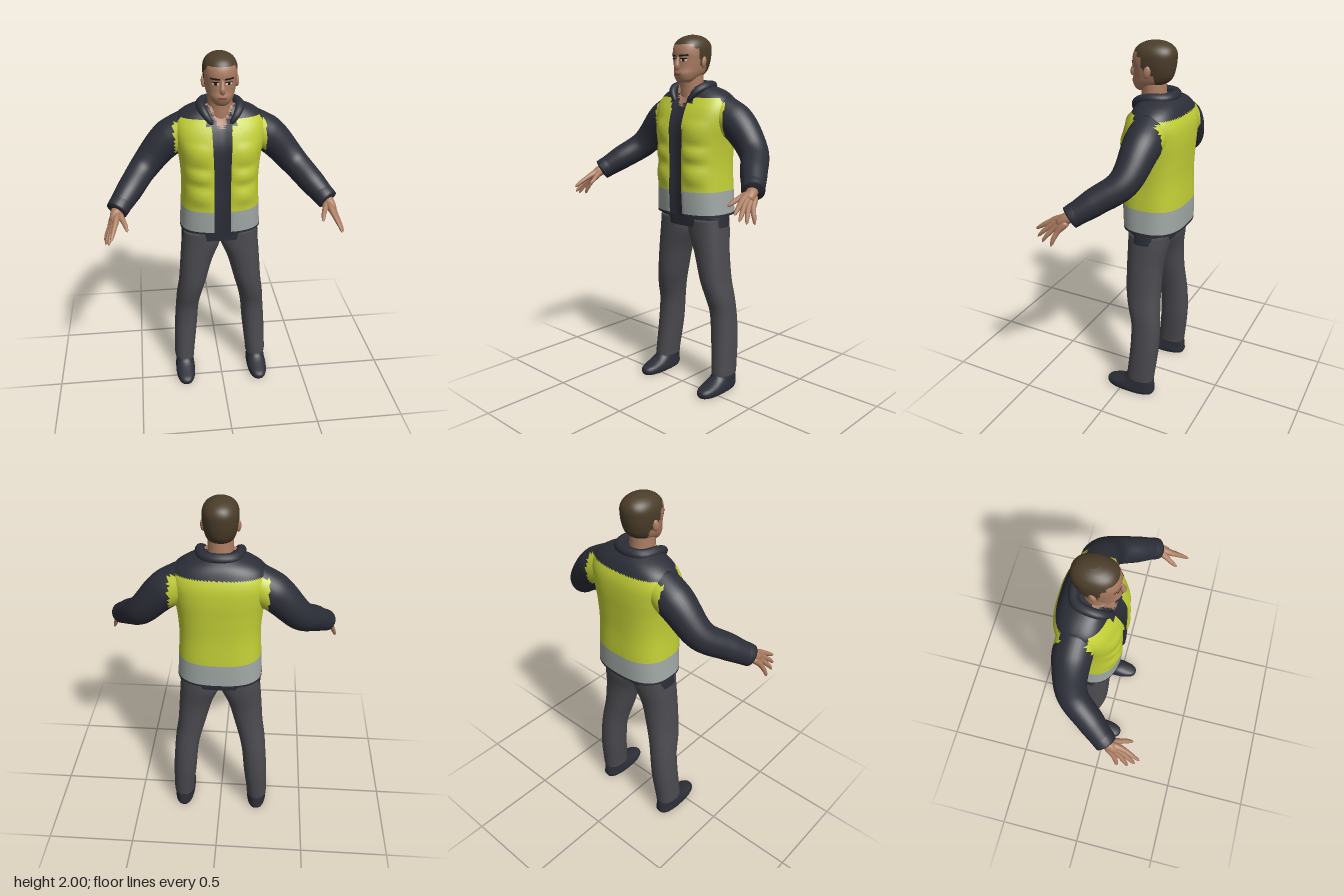
import * as THREE from 'three';
import { mergeVertices } from 'three/addons/utils/BufferGeometryUtils.js';

const mat = (name, color, side = THREE.FrontSide) => {
  const m = new THREE.MeshStandardMaterial({ color, side });
  m.name = name;
  return m;
};

export function createModel() {
  const group = new THREE.Group();
  const D = THREE.DoubleSide;
  const navy = mat('navy cloth', 0x2c2e38, D), yellow = mat('safety yellow', 0xc3d037, D);
  const grey = mat('reflective grey', 0xa0a8a5, D), trousers = mat('charcoal trousers', 0x4b4b50);
  const skin = mat('skin', 0xac7d62), hair = mat('brown hair', 0x4b3d2a);
  const lips = mat('lips', 0x8a5548, D), white = mat('eye white', 0xd8d2cc, D), dark = mat('dark eye', 0x211c1a, D);

  const add = (name, geo, material, parent = group) => {
    const m = new THREE.Mesh(geo, material);
    m.name = name;
    parent.add(m);
    return m;
  };

  // Regroup the triangles of a geometry by a colour rule on their centres
  const paint = (geo, rule) => {
    const p = geo.attributes.position, ix = geo.index.array, lists = new Map();
    for (let i = 0; i < ix.length; i += 3) {
      const t = [ix[i], ix[i + 1], ix[i + 2]];
      const mean = f => (f(t[0]) + f(t[1]) + f(t[2])) / 3;
      const m = rule(mean(k => Math.abs(p.getX(k))), mean(k => p.getY(k)), mean(k => p.getZ(k)));
      if (!lists.has(m)) lists.set(m, []);
      lists.get(m).push(...t);
    }
    const all = [], mats = [...lists.keys()];
    geo.clearGroups();
    mats.forEach((m, k) => {
      geo.addGroup(all.length, lists.get(m).length, k);
      for (const v of lists.get(m)) all.push(v);
    });
    geo.setIndex(all);
    return mats;
  };

  // Smooth interpolation through section rows [y, xCentre, zCentre, halfWidth, halfDepth, roundness]
  const section = (rows, s) => {
    const i = Math.min(Math.floor(s), rows.length - 2), t = s - i;
    const at = k => rows[Math.max(0, Math.min(rows.length - 1, k))];
    return rows[0].map((_, k) => {
      const [a, b, c, d] = [at(i - 1)[k], at(i)[k], at(i + 1)[k], at(i + 2)[k]];
      return 0.5 * (2 * b + (c - a) * t + (2 * a - 5 * b + 4 * c - d) * t * t + (3 * b - a - 3 * c + d) * t ** 3);
    });
  };
  const pw = (v, e) => Math.sign(v) * Math.abs(v) ** e;

  // Upright loft of superelliptic sections; caps: 1 bottom, 2 top, 3 both
  const loft = (rows, segs, sub, caps = 0, warp = null) => {
    const pos = [], idx = [], list = [];
    const n = (rows.length - 1) * sub;
    for (let i = 0; i <= n; i++) list.push(section(rows, i / sub));
    const shut = r => [r[0], r[1], r[2], 0.0005, 0.0005, 2];
    if (caps & 1) list.unshift(shut(list[0]));
    if (caps & 2) list.push(shut(list[list.length - 1]));
    for (const [y, xc, zc, w, d, e] of list) {
      for (let j = 0; j < segs; j++) {
        const a = (j / segs) * Math.PI * 2;
        const x = xc + w * pw(Math.cos(a), 2 / e);
        let z = zc + d * pw(Math.sin(a), 2 / e);
        if (warp) z += warp(x, y, z);
        pos.push(x, y, z);
      }
    }
    for (let i = 0; i < list.length - 1; i++) for (let j = 0; j < segs; j++) {
      const a = i * segs + j, b = i * segs + (j + 1) % segs, c = b + segs, d = a + segs;
      idx.push(a, d, c, a, c, b);
    }
    const g = new THREE.BufferGeometry();
    g.setAttribute('position', new THREE.Float32BufferAttribute(pos, 3));
    g.setIndex(idx);
    g.computeVertexNormals();
    return g;
  };

  // Closed tube along points with radii evenly spread over its length
  const limb = (points, radii, segs = 20, sides = 16) => {
    const curve = new THREE.CatmullRomCurve3(points.map(p => new THREE.Vector3(...p)));
    let g = new THREE.TubeGeometry(curve, segs, 1, sides);
    const p = g.attributes.position, v = new THREE.Vector3();
    for (let i = 0; i <= segs; i++) {
      const c = curve.getPointAt(i / segs), s = (i / segs) * (radii.length - 1);
      const k = Math.min(Math.floor(s), radii.length - 2);
      const r = i === 0 || i === segs ? 0.0005 : THREE.MathUtils.lerp(radii[k], radii[k + 1], s - k);
      for (let j = 0; j <= sides; j++) {
        const n = i * (sides + 1) + j;
        v.fromBufferAttribute(p, n).sub(c).multiplyScalar(r).add(c);
        p.setXYZ(n, v.x, v.y, v.z);
      }
    }
    g.deleteAttribute('uv');
    g.deleteAttribute('normal');
    g = mergeVertices(g, 1e-5);
    g.computeVertexNormals();
    return g;
  };

  // Thin patch lying on the front of a loft; corners: two lower, two upper [x, y]
  const patch = (rows, [p, q, r, s], lift, warp = null) => {
    const g = new THREE.PlaneGeometry(1, 1, 8, 6), a = g.attributes.position;
    for (let i = 0; i < a.count; i++) {
      const u = a.getX(i) + 0.5, v = a.getY(i) + 0.5, L = THREE.MathUtils.lerp;
      const x = L(L(p[0], q[0], u), L(r[0], s[0], u), v), y = L(L(p[1], q[1], u), L(r[1], s[1], u), v);
      let best = null;
      for (let k = 0; k <= 400; k++) {
        const c = section(rows, (k / 400) * (rows.length - 1));
        if (!best || Math.abs(c[0] - y) < Math.abs(best[0] - y)) best = c;
      }
      const [, xc, zc, w, d, e] = best;
      const z = zc + d * Math.max(0, 1 - Math.abs((x - xc) / w) ** e) ** (1 / e);
      a.setXYZ(i, x, y, z + lift + (warp ? warp(x, y, z) : 0));
    }
    g.computeVertexNormals();
    return g;
  };

  // Jacket and vest body, with puffed pockets and a recessed front opening
  const body = [
    [1.02, 0, -0.117, 0.228, 0.168, 2.6], [1.16, 0, -0.113, 0.22, 0.172, 2.6], [1.30, 0, -0.111, 0.214, 0.168, 2.6],
    [1.42, 0, -0.112, 0.222, 0.17, 2.6], [1.52, 0, -0.116, 0.238, 0.17, 2.6], [1.60, 0, -0.125, 0.245, 0.156, 2.6],
    [1.66, 0, -0.13, 0.228, 0.13, 2.5], [1.70, 0, -0.128, 0.18, 0.108, 2.3], [1.73, 0, -0.115, 0.11, 0.085, 2]];
  const bump = (v, c, w) => Math.max(0, 1 - ((v - c) / w) ** 2);
  const puff = (x, y, z) => {
    if (z < -0.05) return 0;
    const ax = Math.abs(x);
    if (ax < 0.04) return -0.012;
    return 0.016 * bump(ax, 0.125, 0.08) * (bump(y, 1.25, 0.06) + bump(y, 1.36, 0.05) + 0.7 * bump(y, 1.48, 0.07));
  };
  const jacket = loft(body, 96, 7, 2, puff);
  add('jacket', jacket, paint(jacket, (x, y, z) => {
    const front = z > -0.1;
    if (front && y > 1.6 && x < (y - 1.6) * 0.5) return skin;
    if (y < 1.03 || (z > -0.05 && x < 0.045)) return navy;
    if (y < 1.16) return grey;
    if (y > (front ? 1.665 : 1.65) || (front && y > 1.61 && x < 0.08)) return navy;
    if (y > 1.61 && z < -0.07 && z > -0.2) return navy;
    return yellow;
  }));
  for (const s of [1, -1]) {
    add('lapel', patch(body, [[0.05 * s, 1.5], [0.06 * s, 1.5], [0.055 * s, 1.64], [0.125 * s, 1.63]], 0.009, puff), yellow);
  }

  // Shirt hem under the jacket
  add('shirtHem', loft([[0.955, 0, -0.108, 0.222, 0.116, 2.5], [1.0, 0, -0.11, 0.218, 0.12, 2.5],
    [1.08, 0, -0.11, 0.205, 0.125, 2.5]], 48, 3, 2), navy);

  // Turned collar and neck
  const half = [[0.045, 1.64, 0.005], [0.085, 1.695, -0.015], [0.103, 1.725, -0.075], [0.075, 1.728, -0.165]];
  add('collar', limb([...half, [0, 1.73, -0.19], ...half.slice().reverse().map(([x, y, z]) => [-x, y, z])],
    [0.012, 0.024, 0.027, 0.027, 0.027, 0.024, 0.012], 40, 12), navy);
  add('neck', limb([[0, 1.64, -0.09], [0, 1.72, -0.08], [0, 1.81, -0.075]], [0.075, 0.066, 0.064]), skin);

  // Head, with hair painted by region
  const skull = [
    [1.745, 0, -0.02, 0.03, 0.035, 2], [1.76, 0, -0.025, 0.05, 0.052, 2.1], [1.79, 0, -0.055, 0.069, 0.094, 2.1],
    [1.82, 0, -0.072, 0.079, 0.106, 2.1], [1.86, 0, -0.079, 0.086, 0.111, 2.2], [1.90, 0, -0.08, 0.09, 0.116, 2.2],
    [1.94, 0, -0.084, 0.088, 0.112, 2.2], [1.97, 0, -0.087, 0.073, 0.094, 2.1], [1.99, 0, -0.09, 0.046, 0.06, 2],
    [1.999, 0, -0.09, 0.016, 0.02, 2]];
  const head = loft(skull, 64, 6, 3);
  add('head', head, paint(head, (x, y, z) => {
    const line = y > 1.945 ? 1 : y > 1.925 ? -0.015 : y > 1.87 ? -0.04 : y > 1.835 ? -0.055 : y > 1.785 ? -0.11 : -1;
    return z < line ? hair : skin;
  }));
  add('nose', limb([[0, 1.885, 0.03], [0, 1.85, 0.04], [0, 1.825, 0.042], [0, 1.812, 0.034]], [0.006, 0.01, 0.016, 0.012], 12, 12), skin);
  add('mouth', patch(skull, [[-0.02, 1.783], [0.02, 1.783], [-0.024, 1.794], [0.024, 1.794]], 0.002), lips);
  for (const s of [1, -1]) {
    const box = (a, b, y0, y1, tilt = 0) => [[a * s, y0], [b * s, y0 + tilt], [a * s, y1], [b * s, y1 + tilt]];
    add('eyeWhite', patch(skull, box(0.018, 0.05, 1.858, 1.87), 0.002), white);
    add('iris', patch(skull, box(0.028, 0.041, 1.857, 1.871), 0.004), dark);
    add('upperLid', patch(skull, box(0.016, 0.053, 1.869, 1.874), 0.004), dark);
    add('eyebrow', patch(skull, box(0.013, 0.06, 1.882, 1.891, 0.003), 0.004), dark);
    const ear = add('ear', new THREE.SphereGeometry(1, 16, 12), skin);
    ear.scale.set(0.012, 0.032, 0.019);
    ear.position.set(0.087 * s, 1.853, -0.078);
    ear.rotation.set(-0.2, 0.3 * s, 0);
  }

  // Arms, hands, legs and shoes on each side
  for (const s of [1, -1]) {
    const side = s > 0 ? 'left' : 'right';
    const flip = pts => pts.map(([x, y, z]) => [x * s, y, z]);
    const sleeve = limb(flip([[0.15, 1.6, -0.135], [0.28, 1.525, -0.14], [0.41, 1.385, -0.11], [0.495, 1.3, 0], [0.57, 1.225, 0.1]]),
      [0.098, 0.1, 0.086, 0.075, 0.07, 0.056], 40, 32);
    add(side + 'Sleeve', sleeve, paint(sleeve, (x, y, z) =>
      x < 0.25 && y < 1.64 && (z > -0.075 || z < -0.2) ? yellow : navy));
    add(side + 'Cuff', limb(flip([[0.535, 1.26, 0.055], [0.555, 1.24, 0.082], [0.575, 1.22, 0.108]]), [0.06, 0.061, 0.058], 8, 24), navy);

    const hand = new THREE.Group();
    hand.name = side + 'Hand';
    group.add(hand);
    add('wrist', limb(flip([[0.555, 1.24, 0.08], [0.575, 1.215, 0.125], [0.588, 1.185, 0.165]]), [0.032, 0.03, 0.022], 10), skin, hand);
    const fingers = {
      indexFinger: [[0.568, 1.225, 0.12], [0.575, 1.197, 0.19], [0.59, 1.165, 0.245], [0.6, 1.138, 0.287]],
      middleFinger: [[0.573, 1.22, 0.115], [0.587, 1.182, 0.185], [0.606, 1.14, 0.235], [0.616, 1.105, 0.268]],
      ringFinger: [[0.578, 1.215, 0.11], [0.598, 1.168, 0.172], [0.62, 1.125, 0.21], [0.633, 1.09, 0.232]],
      littleFinger: [[0.583, 1.21, 0.105], [0.608, 1.157, 0.15], [0.628, 1.115, 0.168], [0.64, 1.08, 0.175]],
      thumb: [[0.565, 1.22, 0.11], [0.545, 1.205, 0.155], [0.528, 1.185, 0.195], [0.516, 1.162, 0.235]] };
    for (const [name, pts] of Object.entries(fingers)) {
      add(name, limb(flip(pts), [0.018, 0.019, 0.014, 0.012, 0.006], 14, 10), skin, hand);
    }

    const leg = [
      [0.09, 0.225, -0.113, 0.06, 0.081, 2.2], [0.12, 0.225, -0.115, 0.061, 0.082, 2.2], [0.3, 0.212, -0.132, 0.068, 0.083, 2.2],
      [0.45, 0.2, -0.132, 0.069, 0.083, 2.2], [0.55, 0.186, -0.116, 0.074, 0.092, 2.2], [0.65, 0.165, -0.103, 0.08, 0.099, 2.2],
      [0.8, 0.139, -0.1, 0.094, 0.102, 2.2], [0.92, 0.11, -0.107, 0.113, 0.112, 2.3], [1.0, 0.106, -0.108, 0.11, 0.112, 2.3]];
    const shoe = [
      [0.0, 0.226, -0.05, 0.054, 0.142, 2.5], [0.018, 0.226, -0.05, 0.059, 0.15, 2.5], [0.04, 0.226, -0.055, 0.058, 0.144, 2.4],
      [0.06, 0.226, -0.083, 0.055, 0.115, 2.3], [0.085, 0.226, -0.108, 0.053, 0.086, 2.2], [0.13, 0.225, -0.115, 0.05, 0.07, 2]];
    const onSide = rows => rows.map(([y, x, ...rest]) => [y, x * s, ...rest]);
    add(side + 'TrouserLeg', loft(onSide(leg), 32, 4, 3), trousers);
    add(side + 'Shoe', loft(onSide(shoe), 36, 3, 3), navy);
  }
  return group;
}
